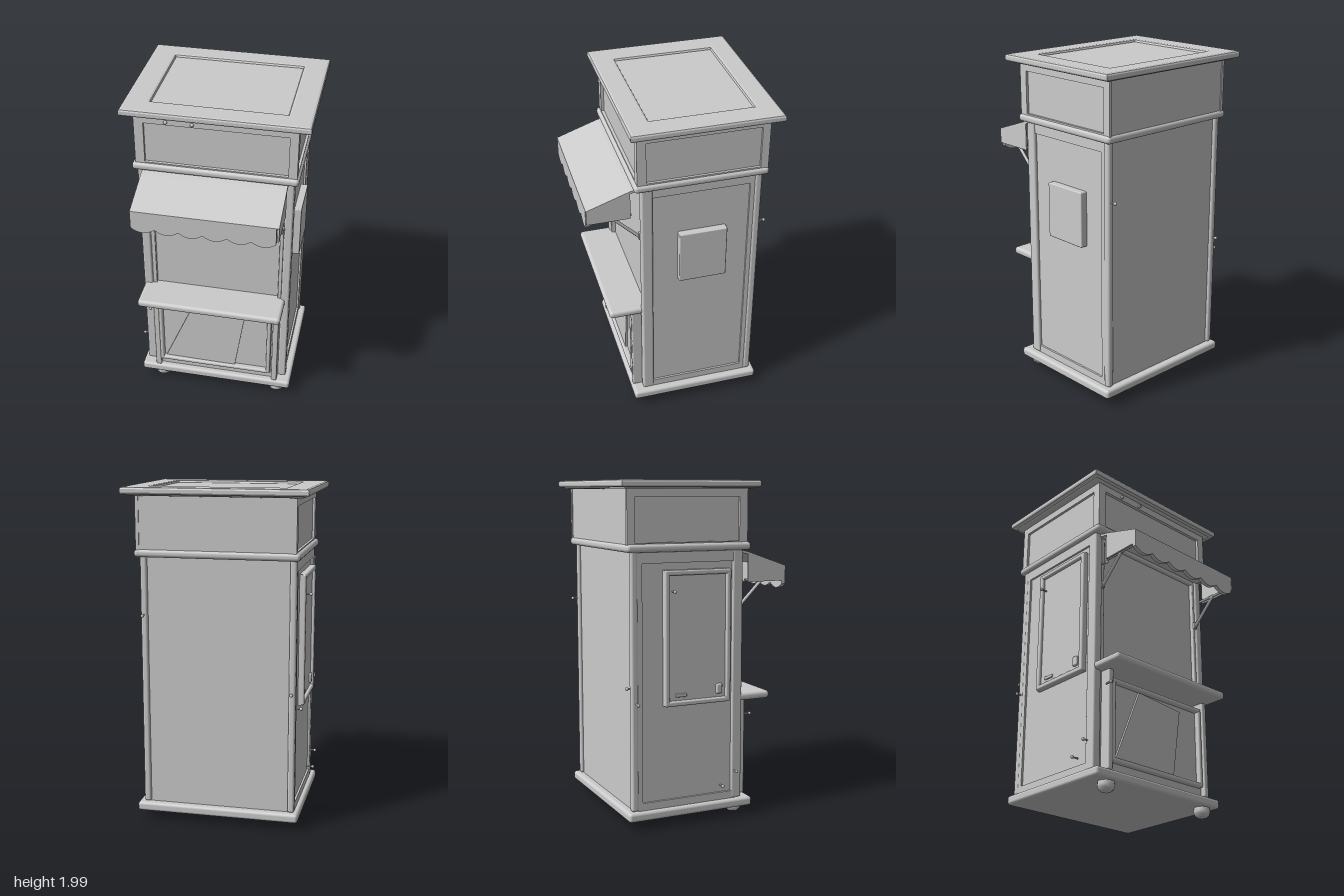
import * as THREE from 'three';
import { RoundedBoxGeometry } from 'three/addons/geometries/RoundedBoxGeometry.js';

export function createModel() {
  const model = new THREE.Group();
  model.name = 'kiosk';
  const mat = new THREE.MeshStandardMaterial({ color: 0xcccccc, side: THREE.DoubleSide });

  function add(name, geometry) {
    const mesh = new THREE.Mesh(geometry, mat);
    mesh.name = name;
    model.add(mesh);
    return mesh;
  }
  // Box given by its limits, with optional rounded edges
  function box(name, x0, x1, y0, y1, z0, z1, r = 0) {
    const size = [x1 - x0, y1 - y0, z1 - z0];
    const g = r ? new RoundedBoxGeometry(...size, 3, r) : new THREE.BoxGeometry(...size);
    g.translate((x0 + x1) / 2, (y0 + y1) / 2, (z0 + z1) / 2);
    return add(name, g);
  }
  const rect = (Type, a0, a1, b0, b1) => new Type([[a0, b0], [a1, b0], [a1, b1], [a0, b1]].map(p => new THREE.Vector2(...p)));
  function ring(outer, inner) {
    const s = rect(THREE.Shape, ...outer);
    s.holes.push(rect(THREE.Path, ...inner));
    return s;
  }
  // Extrude an (x, y) shape from z0 to z1
  function slabZ(name, shape, z0, z1) {
    const g = new THREE.ExtrudeGeometry(shape, { depth: z1 - z0, bevelEnabled: false, curveSegments: 8 });
    return add(name, g.translate(0, 0, z0));
  }
  // Extrude a (z, y) shape from x0 to x1
  function slabX(name, shape, x0, x1) {
    const g = new THREE.ExtrudeGeometry(shape, { depth: x1 - x0, bevelEnabled: false });
    return add(name, g.rotateY(-Math.PI / 2).translate(x1, 0, 0));
  }
  function rod(name, a, b, r) {
    const curve = new THREE.LineCurve3(new THREE.Vector3(...a), new THREE.Vector3(...b));
    add(name, new THREE.TubeGeometry(curve, 1, r, 8));
  }
  const poly = pts => new THREE.Shape(pts.map(p => new THREE.Vector2(...p)));

  // Plinth and the two front feet
  box('base', -0.49, 0.48, 0.065, 0.12, -0.495, 0.3, 0.018);
  const footProfile = [[0, 0.01], [0.03, 0.01], [0.045, 0.025], [0.05, 0.045], [0.045, 0.075]].map(p => new THREE.Vector2(...p));
  for (const x of [-0.365, 0.39]) add('foot', new THREE.LatheGeometry(footProfile, 16).translate(x, 0, 0.235));

  // Main cabin with corner posts and front frame
  box('cabin', -0.45, 0.425, 0.12, 1.61, -0.45, 0.205);
  box('frontPost', -0.465, -0.41, 0.12, 1.61, 0.17, 0.237, 0.012);
  box('frontPost', 0.395, 0.445, 0.12, 1.61, 0.17, 0.237, 0.012);
  box('windowStile', -0.41, -0.385, 0.12, 1.61, 0.19, 0.228, 0.006);
  box('windowStile', 0.373, 0.395, 0.12, 1.61, 0.19, 0.228, 0.006);
  box('windowHead', -0.39, 0.38, 1.565, 1.61, 0.19, 0.228, 0.006);
  for (const [x0, x1] of [[-0.465, -0.425], [0.405, 0.445]]) box('backPost', x0, x1, 0.12, 1.61, -0.468, -0.425, 0.014);

  // Side frames
  const sideFrame = () => ring([-0.43, 0.2, 0.12, 1.61], [-0.4, 0.175, 0.165, 1.54]);
  slabX('rightFrame', sideFrame(), 0.42, 0.437);
  slabX('leftFrame', sideFrame(), -0.462, -0.445);

  // Box on the right wall
  box('wallBox', 0.42, 0.468, 0.95, 1.28, -0.265, 0.02, 0.006);

  // Framed notice case on the left wall
  const L = { z0: -0.27, z1: 0.15, y0: 0.72, y1: 1.5 };
  box('caseBack', -0.468, -0.445, L.y0, L.y1, L.z0, L.z1);
  for (const z of [L.z0, L.z1 - 0.03]) box('caseStile', -0.487, -0.445, L.y0, L.y1, z, z + 0.03, 0.01);
  for (const y of [L.y0, L.y1 - 0.03]) box('caseRail', -0.487, -0.445, y, y + 0.03, L.z0, L.z1, 0.01);
  box('caseOrnament', -0.482, -0.46, 0.77, 0.83, 0.06, 0.1, 0.01);
  box('caseOrnament', -0.478, -0.46, 0.77, 0.79, -0.2, -0.13, 0.005);

  // Lower front cabinet with framed poster
  box('lowerCabinet', -0.385, 0.39, 0.12, 0.67, 0.19, 0.262);
  for (const x of [-0.4, 0.36]) box('counterLeg', x, x + 0.035, 0.12, 0.715, 0.2, 0.293, 0.008);
  const lower = { x0: -0.37, x1: 0.35, y0: 0.17, y1: 0.665 };
  for (const x of [lower.x0, lower.x1 - 0.026]) box('posterStile', x, x + 0.026, lower.y0, lower.y1, 0.25, 0.293, 0.01);
  for (const y of [lower.y0, lower.y1 - 0.026]) box('posterRail', lower.x0, lower.x1, y, y + 0.026, 0.25, 0.293, 0.01);
  slabZ('poster', poly([[-0.33, 0.2], [0.12, 0.195], [0.18, 0.605], [-0.15, 0.635]]), 0.26, 0.275);

  // Counter
  box('counter', -0.46, 0.42, 0.708, 0.755, 0.19, 0.43, 0.02);

  // Awning: canopy, cheeks, scalloped valance and struts
  slabX('canopy', poly([[0.22, 1.59], [0.29, 1.572], [0.53, 1.488], [0.542, 1.5], [0.29, 1.588], [0.22, 1.605]]), -0.43, 0.41);
  const cheek = () => poly([[0.29, 1.41], [0.54, 1.41], [0.54, 1.5], [0.29, 1.585]]);
  slabX('cheek', cheek(), -0.43, -0.42);
  slabX('cheek', cheek(), 0.4, 0.41);
  const valance = new THREE.Shape();
  valance.moveTo(0.395, 1.5);
  valance.lineTo(-0.43, 1.5);
  valance.lineTo(-0.43, 1.39);
  const scallops = 6, step = 0.825 / scallops;
  for (let i = 0; i < scallops; i++) {
    const x = -0.43 + i * step;
    valance.quadraticCurveTo(x + step / 2, 1.335, x + step, 1.39);
  }
  slabZ('valance', valance, 0.518, 0.542);
  for (const x of [-0.405, 0.388]) {
    rod('strut', [x, 1.42, 0.395], [x, 1.26, 0.235], 0.01);
    box('strutMount', x - 0.012, x + 0.012, 1.245, 1.29, 0.215, 0.243, 0.004);
    rod('strutRail', [x, 1.42, 0.28], [x, 1.42, 0.53], 0.008);
  }

  // Upper sign box with trim
  box('lowerTrim', -0.485, 0.472, 1.602, 1.648, -0.497, 0.28, 0.02);
  box('signBox', -0.45, 0.445, 1.63, 1.96, -0.485, 0.245);
  slabZ('signFrontFrame', ring([-0.465, 0.46, 1.64, 1.96], [-0.41, 0.41, 1.655, 1.905]), 0.235, 0.263);
  const signSide = () => ring([-0.49, 0.262, 1.64, 1.96], [-0.445, 0.21, 1.655, 1.905]);
  slabX('signSideFrame', signSide(), 0.44, 0.46);
  slabX('signSideFrame', signSide(), -0.465, -0.445);
  for (const x of [-0.28, -0.13]) add('lampStud', new THREE.SphereGeometry(0.011, 10, 8).translate(x, 1.925, 0.268));

  // Roof slab with a shallow recess and narrowed underside
  const roof = new THREE.ExtrudeGeometry(ring([-0.52, 0.515, -0.295, 0.53], [-0.4, 0.4, -0.19, 0.43]),
    { depth: 0.018, bevelThickness: 0.012, bevelSize: 0.015, bevelOffset: 0, bevelSegments: 2 });
  roof.rotateX(-Math.PI / 2).translate(0, 1.97, 0);
  add('roofRim', roof);
  box('roofDeck', -0.505, 0.5, 1.95, 1.985, -0.52, 0.285, 0.01);

  // Small hooks on posts and walls
  const hooks = [
    [-0.455, 0.29, 0.19, -1, 0], [-0.455, 0.21, 0.1, -1, 0], [-0.47, 1.38, -0.22, -1, 0], [-0.455, 0.75, -0.44, -1, 0],
    [-0.41, 0.615, 0.28, 0, 1], [-0.4, 1.41, 0.225, 0, 1], [0.425, 1.265, -0.46, 0, -1], [-0.445, 0.84, -0.45, 0, -1],
  ];
  for (const [x, y, z, dx, dz] of hooks) {
    const tip = [x + dx * 0.04, y, z + dz * 0.04];
    rod('hookStem', [x, y, z], tip, 0.005);
    add('hookKnob', new THREE.SphereGeometry(0.01, 10, 8).translate(...tip));
  }
  return model;
}
